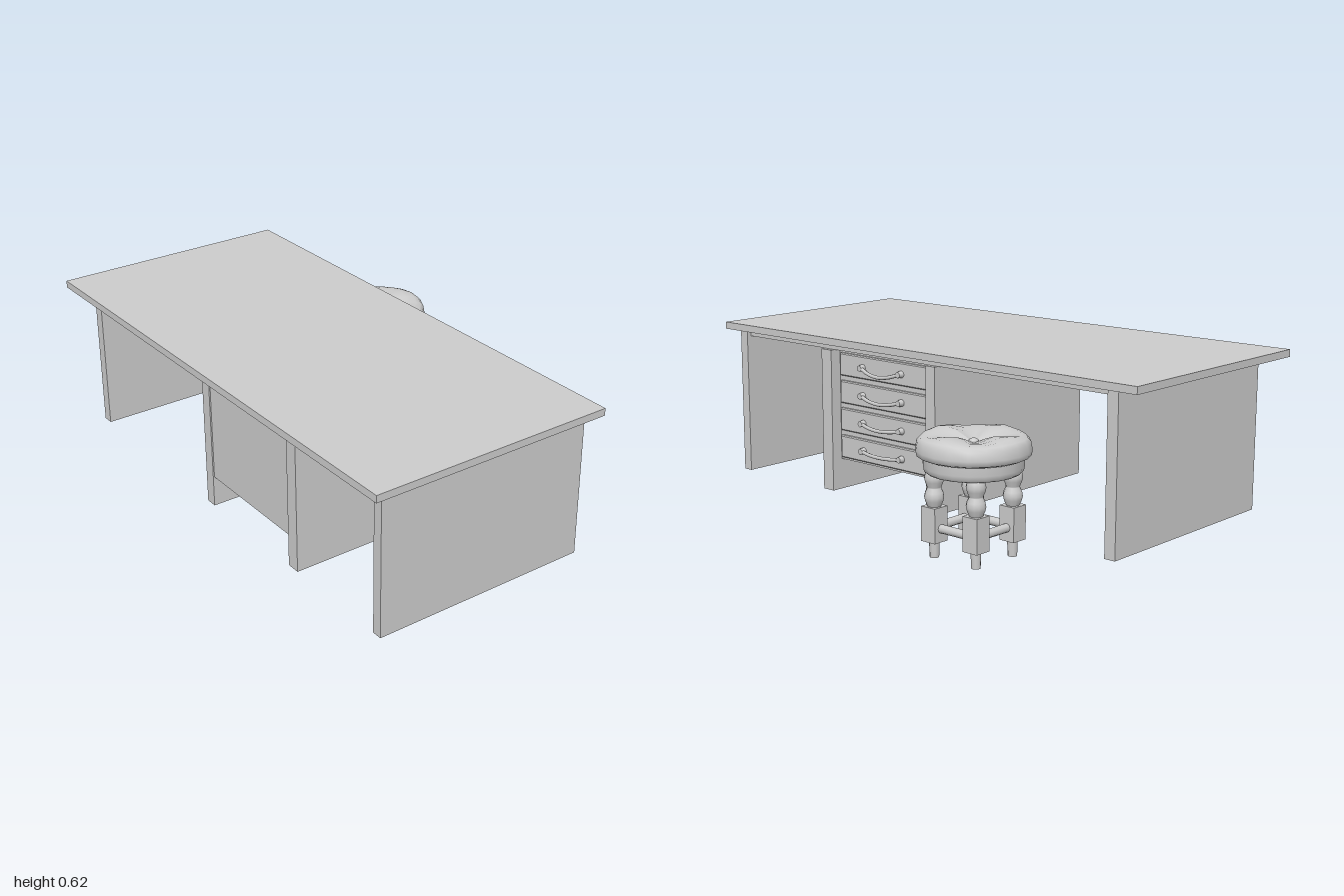
import * as THREE from 'three';

const smooth = new THREE.MeshStandardMaterial({ color: 0xcccccc });
const flat = new THREE.MeshStandardMaterial({ color: 0xcccccc, flatShading: true });

function add(parent, name, geometry, material = flat) {
  const mesh = new THREE.Mesh(geometry, material);
  mesh.name = name;
  parent.add(mesh);
  return mesh;
}

// Box given by its limits on each axis
function slab(parent, name, [x0, x1], [y0, y1], [z0, z1]) {
  const mesh = add(parent, name, new THREE.BoxGeometry(x1 - x0, y1 - y0, z1 - z0));
  mesh.position.set((x0 + x1) / 2, (y0 + y1) / 2, (z0 + z1) / 2);
  return mesh;
}

function lathe(points, sides) {
  return new THREE.LatheGeometry(points.map(([r, y]) => new THREE.Vector2(r, y)), sides);
}

// Bowed pull with a round mount at each end
function makeHandle(y, sag) {
  const handle = new THREE.Group();
  handle.name = 'drawerHandle';
  const ends = [0.27, 0.072];
  const curve = new THREE.CatmullRomCurve3([
    new THREE.Vector3(0.238, 0, ends[0]),
    new THREE.Vector3(0.247, -sag * 0.7, 0.222),
    new THREE.Vector3(0.25, -sag, 0.171),
    new THREE.Vector3(0.247, -sag * 0.7, 0.12),
    new THREE.Vector3(0.238, 0, ends[1]),
  ]);
  add(handle, 'pull', new THREE.TubeGeometry(curve, 16, 0.007, 8), smooth);
  for (const z of ends) {
    const mount = add(handle, 'mount', new THREE.CylinderGeometry(0.011, 0.014, 0.025, 12), smooth);
    mount.rotation.z = -Math.PI / 2;
    mount.position.set(0.234, 0, z);
  }
  handle.position.y = y;
  return handle;
}

function makeDesk() {
  const desk = new THREE.Group();
  desk.name = 'desk';
  slab(desk, 'top', [-0.66, 0.272], [0.588, 0.615], [-1, 1]);
  slab(desk, 'underTop', [-0.56, 0.24], [0.567, 0.588], [-0.88, 0.89]);

  // Outer and pedestal side panels
  const depth = [-0.583, 0.258];
  for (const z of [[0.886, 0.924], [-0.919, -0.876]]) slab(desk, 'endPanel', depth, [0.024, 0.588], z);
  for (const z of [[0.406, 0.458], [-0.123, -0.078]]) slab(desk, 'pedestalSide', depth, [0.024, 0.567], z);

  // Drawer case, fronts and pulls
  slab(desk, 'drawerCase', [-0.578, 0.212], [0.142, 0.567], [-0.078, 0.406]);
  for (let i = 0; i < 4; i++) {
    const y = 0.512 - i * 0.1055;
    const front = new THREE.Shape();
    front.moveTo(-0.23, -0.043);
    front.lineTo(0.23, -0.043);
    front.lineTo(0.23, 0.043);
    front.lineTo(-0.23, 0.043);
    const panel = add(desk, 'drawerFront', new THREE.ExtrudeGeometry(front, {
      depth: 0.01, bevelEnabled: true, bevelThickness: 0.004, bevelSize: 0.004, bevelOffset: -0.004, bevelSegments: 1,
    }));
    panel.rotation.y = Math.PI / 2;
    panel.position.set(0.212, y, 0.164);
    desk.add(makeHandle(y, 0.021 - i * 0.005));
  }
  return desk;
}

// Turned leg: round foot, square block, two beads
function makeLeg() {
  const leg = new THREE.Group();
  leg.name = 'stoolLeg';
  add(leg, 'foot', new THREE.CylinderGeometry(0.018, 0.016, 0.06, 10), smooth).position.y = 0.03;
  slab(leg, 'block', [-0.031, 0.031], [0.056, 0.176], [-0.031, 0.031]);
  const beads = [[0.022, 0.174]];
  for (const y of [0.178, 0.242]) {
    beads.push([0.024, y], [0.031, y + 0.017], [0.034, y + 0.03], [0.031, y + 0.045], [0.024, y + 0.06]);
  }
  add(leg, 'beads', lathe(beads, 12), smooth);
  return leg;
}

function makeCushion() {
  const geometry = lathe([
    [0, 0.346], [0.178, 0.346], [0.191, 0.352], [0.194, 0.37], [0.189, 0.398], [0.178, 0.411],
    [0.158, 0.418], [0.125, 0.419], [0.085, 0.413], [0.045, 0.402], [0.015, 0.392], [0, 0.39],
  ], 20);
  // Four soft tufts divided by shallow diagonal creases
  const p = geometry.attributes.position;
  for (let i = 0; i < p.count; i++) {
    const x = p.getX(i), y = p.getY(i), z = p.getZ(i);
    if (y < 0.385) continue;
    const r = Math.hypot(x, z);
    const swell = Math.sin(Math.PI * Math.min(1, r / 0.194));
    p.setY(i, y + 0.009 * swell * Math.cos(4 * Math.atan2(z, x)));
  }
  geometry.computeVertexNormals();
  return geometry;
}

function makeStool() {
  const stool = new THREE.Group();
  stool.name = 'stool';
  add(stool, 'cushion', makeCushion(), smooth);
  const button = add(stool, 'button', new THREE.SphereGeometry(0.017, 12, 8), smooth);
  button.scale.y = 0.6;
  button.position.y = 0.395;
  add(stool, 'seatBase', lathe([
    [0, 0.293], [0.158, 0.293], [0.166, 0.3], [0.169, 0.315], [0.17, 0.347],
  ], 20), smooth);

  const reach = 0.092;
  for (let i = 0; i < 4; i++) {
    const side = new THREE.Group();
    side.name = 'stoolSide';
    const leg = makeLeg();
    leg.position.set(reach, 0, reach);
    side.add(leg);
    const rail = add(side, 'stretcher', new THREE.CylinderGeometry(0.015, 0.015, reach * 2, 10), smooth);
    rail.rotation.z = Math.PI / 2;
    rail.position.set(0, 0.103, reach);
    side.rotation.y = i * Math.PI / 2;
    stool.add(side);
  }
  stool.position.set(0.464, 0, -0.489);
  return stool;
}

export function createModel() {
  const model = new THREE.Group();
  model.name = 'deskAndStool';
  model.add(makeDesk(), makeStool());
  return model;
}
